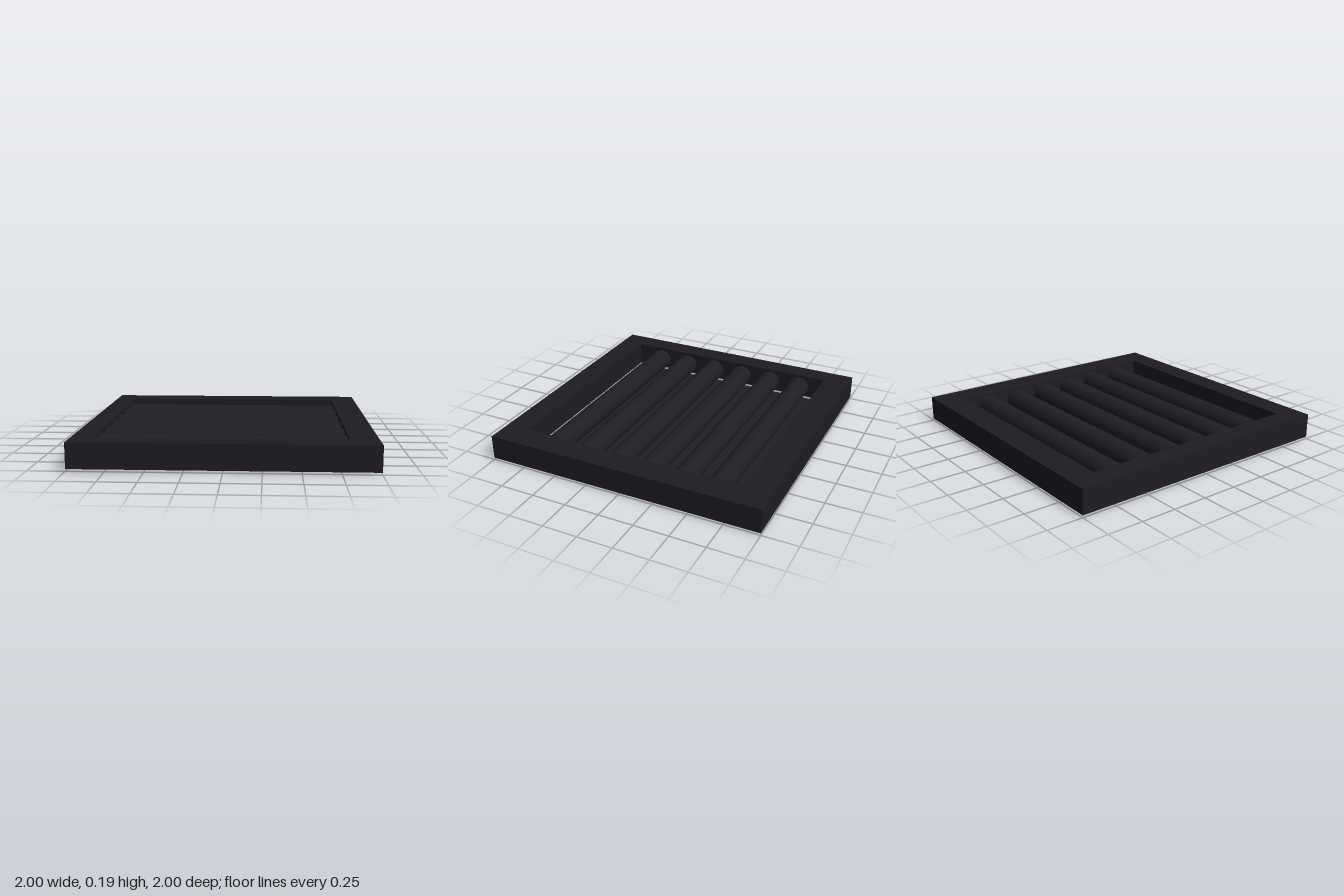
import * as THREE from 'three';

export function createModel() {
  const group = new THREE.Group();
  const frameMat = new THREE.MeshStandardMaterial({ color: 0x1f1b24 });
  const slatMat = new THREE.MeshStandardMaterial({ color: 0x201e22 });
  const floorMat = new THREE.MeshStandardMaterial({ color: 0x201d24, side: THREE.DoubleSide });

  const add = (name, geometry, material, x, y, z) => {
    const mesh = new THREE.Mesh(geometry, material);
    mesh.name = name;
    mesh.position.set(x, y, z);
    group.add(mesh);
    return mesh;
  };

  // Opening, slightly off centre in the frame
  const left = -0.85, right = 0.81, back = -0.81, front = 0.83;
  const width = right - left, depth = front - back;
  const midX = (left + right) / 2, midZ = (back + front) / 2;
  const bottom = 0.015, height = 0.173;

  // Square frame, drawn flat (shape y becomes -z) and extruded upwards
  const outline = new THREE.Shape([[-1, -1], [1, -1], [1, 1], [-1, 1]].map(p => new THREE.Vector2(...p)));
  outline.holes.push(new THREE.Path(
    [[left, -back], [right, -back], [right, -front], [left, -front]].map(p => new THREE.Vector2(...p))));
  const frameGeo = new THREE.ExtrudeGeometry(outline, { depth: height, bevelEnabled: false });
  frameGeo.rotateX(-Math.PI / 2);
  add('frame', frameGeo, frameMat, 0, bottom, 0);

  // Thin floor closing the opening
  const floorGeo = new THREE.PlaneGeometry(width, depth).rotateX(-Math.PI / 2);
  add('floor', floorGeo, floorMat, midX, 0, midZ);

  // Row of round bars across the opening
  const barGeo = new THREE.CylinderGeometry(0.078, 0.078, width, 32).rotateZ(Math.PI / 2);
  for (let i = 0; i < 6; i++) {
    add('bar' + (i + 1), barGeo, slatMat, midX, 0.094, -0.612 + i * 0.247);
  }

  return group;
}
